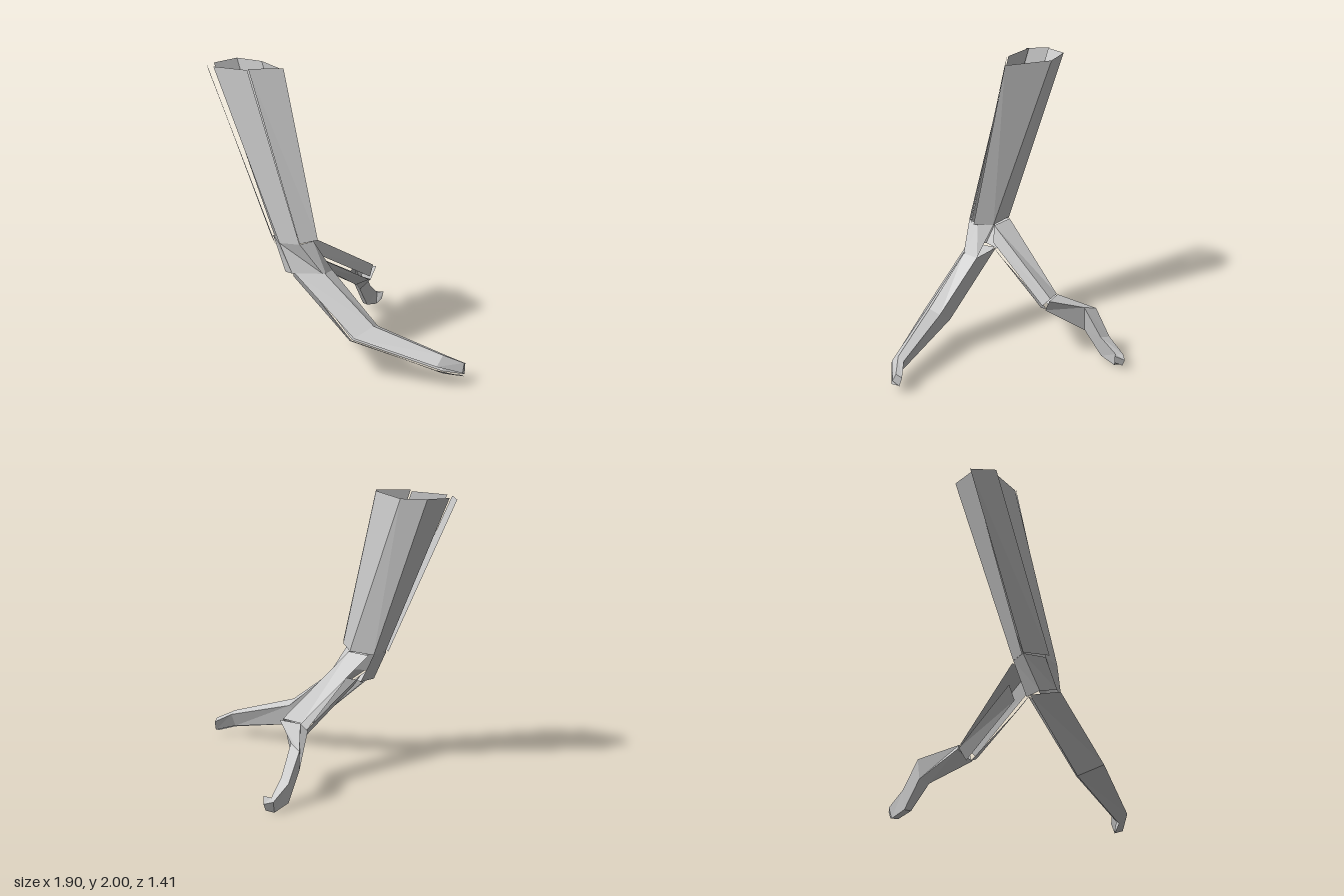
import * as THREE from 'three';

const material = new THREE.MeshStandardMaterial({
  color: 0xcccccc, flatShading: true, side: THREE.DoubleSide,
});

// Skins consecutive cross-sections with flat panels; closed joins last point to first.
function loft(name, rings, closed = false, capEnd = false) {
  const n = rings[0].length;
  const index = [];
  for (let r = 0; r < rings.length - 1; r++) {
    for (let i = 0; i < (closed ? n : n - 1); i++) {
      const j = (i + 1) % n;
      const a = r * n + i, b = r * n + j, c = a + n, d = b + n;
      index.push(a, c, b, b, c, d);
    }
  }
  if (capEnd) {
    const s = (rings.length - 1) * n;
    for (let i = 1; i < n - 1; i++) index.push(s, s + i + 1, s + i);
  }
  const indexed = new THREE.BufferGeometry();
  indexed.setAttribute('position', new THREE.Float32BufferAttribute(rings.flat(2), 3));
  indexed.setIndex(index);
  const geometry = indexed.toNonIndexed();
  geometry.computeVertexNormals();
  const mesh = new THREE.Mesh(geometry, material);
  mesh.name = name;
  return mesh;
}

export function createModel() {
  const model = new THREE.Group();
  model.name = 'leaningTrunkWithRoots';

  // Leaning trunk: open tube of long bark panels
  model.add(loft('trunkFront', [
    [[-0.55, 1.99, 0.6], [-0.81, 1.99, 0.66]],
    [[-0.13, 0.85, 0.565], [-0.28, 0.84, 0.605]],
  ]));
  model.add(loft('trunkRight', [
    [[-0.37, 2, 0.44], [-0.54, 2, 0.6]],
    [[-0.06, 0.87, 0.46], [-0.14, 0.85, 0.555]],
  ]));
  model.add(loft('trunkBack', [
    [[-0.91, 1.99, 0.56], [-0.88, 2, 0.37], [-0.7, 1.99, 0.31], [-0.37, 1.99, 0.44]],
    [[-0.41, 0.85, 0.52], [-0.39, 0.84, 0.42], [-0.2, 0.84, 0.38], [-0.07, 0.86, 0.45]],
  ]));
  // Loose bark panel standing off the trunk
  model.add(loft('looseBark', [
    [[-0.82, 1.98, 0.7], [-0.95, 1.98, 0.59]],
    [[-0.28, 0.84, 0.64], [-0.42, 0.85, 0.54]],
  ]));

  // Collar bending from the trunk into the side root
  model.add(loft('collar', [
    [[-0.2, 0.84, 0.38], [-0.11, 0.85, 0.45], [-0.13, 0.85, 0.565],
      [-0.28, 0.84, 0.605], [-0.41, 0.85, 0.53], [-0.39, 0.84, 0.42]],
    [[-0.02, 0.64, 0.36], [0.01, 0.65, 0.46], [0.0, 0.65, 0.48],
      [-0.17, 0.645, 0.6], [-0.28, 0.62, 0.55], [-0.27, 0.62, 0.42]],
  ]));

  // Side root: underside, back, top and front edges, capped at the tip
  model.add(loft('sideRoot', [
    [[-0.28, 0.62, 0.44], [-0.02, 0.64, 0.36], [0.01, 0.65, 0.47], [-0.16, 0.65, 0.59]],
    [[0.2, 0.2, 0.41], [0.36, 0.32, 0.33], [0.39, 0.35, 0.41], [0.32, 0.28, 0.53]],
    [[0.82, 0.08, 0.21], [0.82, 0.18, 0.17], [0.83, 0.2, 0.22], [0.83, 0.14, 0.29]],
    [[0.92, 0.05, 0.1], [0.91, 0.12, 0.08], [0.93, 0.14, 0.12], [0.94, 0.08, 0.15]],
  ], false, true));
  // Loose panel under the front edge of the side root
  model.add(loft('sideRootLowerPanel', [
    [[-0.15, 0.635, 0.61], [-0.28, 0.62, 0.46]],
    [[0.31, 0.27, 0.56], [0.2, 0.2, 0.42]],
    [[0.83, 0.12, 0.3], [0.83, 0.07, 0.22]],
    [[0.95, 0.06, 0.15], [0.91, 0.045, 0.11]],
  ]));

  // Rear root: upper length of separated panels, open below
  model.add(loft('rearRootUpper', [
    [[-0.37, 0.84, 0.39], [-0.2, 0.84, 0.37], [-0.17, 0.72, 0.35]],
    [[-0.29, 0.46, -0.19], [-0.17, 0.48, -0.25], [-0.15, 0.41, -0.19]],
  ]));
  model.add(loft('rearRootRightPanel', [
    [[-0.165, 0.7, 0.36], [-0.2, 0.63, 0.33]],
    [[-0.15, 0.39, -0.18], [-0.24, 0.34, -0.14]],
  ]));
  model.add(loft('rearRootLeftPanel', [
    [[-0.35, 0.71, 0.34], [-0.29, 0.62, 0.33]],
    [[-0.32, 0.42, -0.17], [-0.27, 0.34, -0.15]],
  ]));
  // Rear root: middle bend and hooked toe
  model.add(loft('rearRootMiddle', [
    [[-0.33, 0.41, -0.17], [-0.29, 0.46, -0.2], [-0.15, 0.47, -0.26], [-0.16, 0.38, -0.21]],
    [[-0.47, 0.22, -0.39], [-0.48, 0.36, -0.4], [-0.38, 0.39, -0.38], [-0.4, 0.2, -0.37]],
  ], true));
  model.add(loft('rearRootToe', [
    [[-0.47, 0.22, -0.39], [-0.48, 0.36, -0.4], [-0.38, 0.39, -0.38], [-0.4, 0.2, -0.37]],
    [[-0.49, 0.03, -0.51], [-0.5, 0.17, -0.52], [-0.42, 0.19, -0.51], [-0.44, 0.03, -0.5]],
    [[-0.49, 0.0, -0.64], [-0.5, 0.08, -0.66], [-0.45, 0.09, -0.63], [-0.45, 0.0, -0.62]],
    [[-0.46, 0.02, -0.69], [-0.46, 0.07, -0.71], [-0.41, 0.1, -0.66], [-0.42, 0.04, -0.65]],
  ], true, true));

  return model;
}
